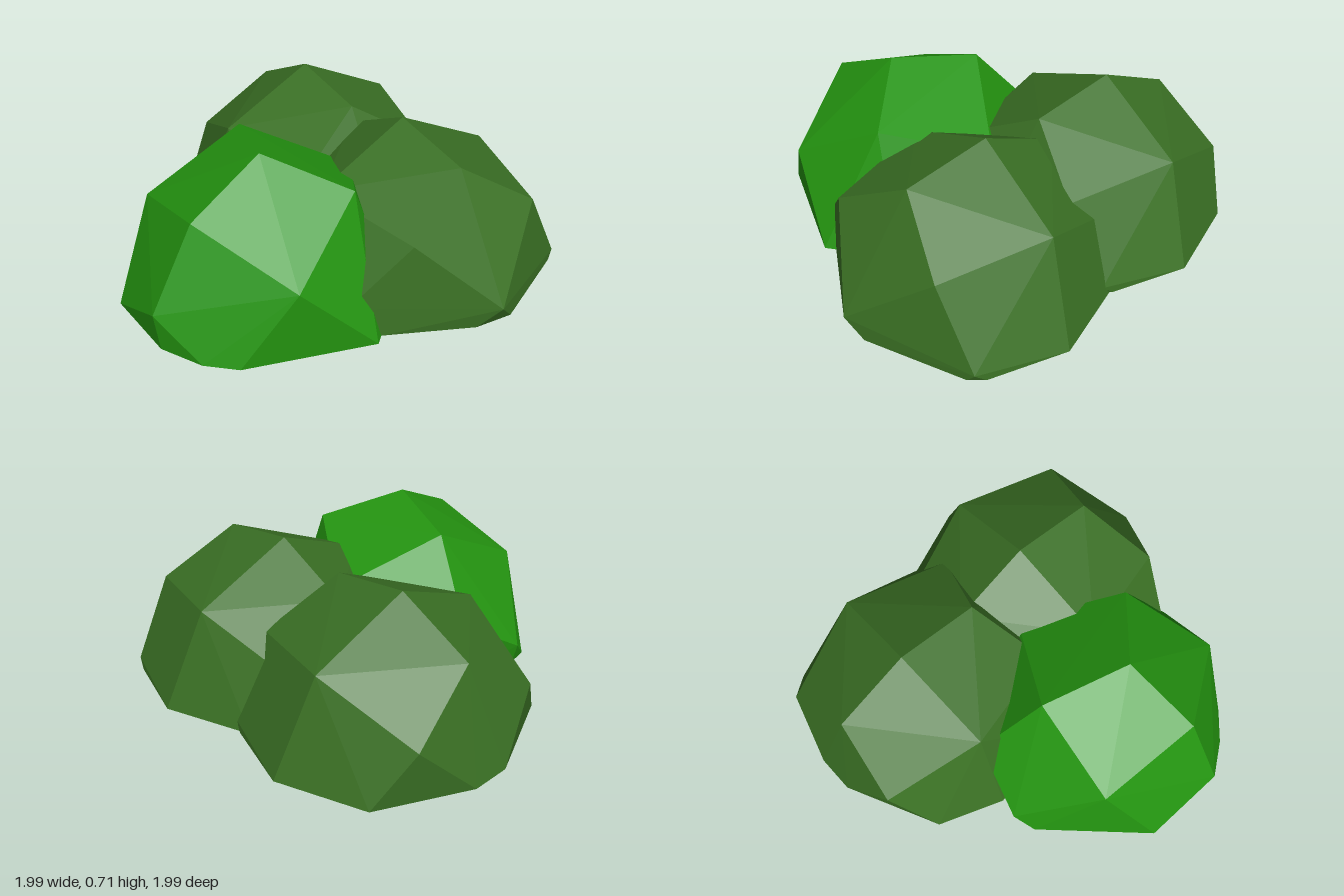
import * as THREE from 'three';
import { ConvexGeometry } from 'three/addons/geometries/ConvexGeometry.js';

const leafMaterial = (name, color) => {
  const m = new THREE.MeshStandardMaterial({ color, flatShading: true, side: THREE.DoubleSide });
  m.name = name;
  return m;
};

// Corners of the two dark clumps, from the crown down to the ground ring
const DARK = [
  [0.33, 0.68, 0.25],
  [0.79, 0.46, 0.20], [0.39, 0.61, 0.65], [0.27, 0.50, -0.12], [-0.13, 0.47, 0.36],
  [0.74, 0.40, 0.71], [0.07, 0.41, 0.83], [0.59, 0.26, -0.23], [-0.08, 0.27, -0.12],
  [0.43, 0.09, 0.99], [0.94, 0.04, 0.65], [-0.20, 0.14, 0.77],
  [0.99, 0, 0.23], [0.95, 0, 0.60], [0.91, 0, 0.67], [0.51, 0, 0.94], [0.33, 0, 0.95],
  [-0.06, 0, 0.83], [-0.20, 0, 0.72], [-0.32, 0, 0.35], [-0.25, 0, 0.03],
  [0.15, 0, -0.25], [0.33, 0, -0.28], [0.77, 0, -0.15],
];

// Corners of the bright clump
const BRIGHT = [
  [-0.40, 0.71, 0.34],
  [-0.33, 0.64, -0.07], [-0.75, 0.53, 0.46], [-0.07, 0.57, 0.57],
  [-0.79, 0.41, -0.03], [-0.44, 0.33, 0.83], [0.14, 0.42, 0.11],
  [-0.95, 0.17, 0.51], [-0.58, 0.10, -0.38], [-0.26, 0.30, -0.35],
  [-1.00, 0, 0.15], [-0.93, 0, 0.52], [-0.81, 0, 0.69], [-0.68, 0, 0.78], [-0.10, 0, 0.87],
  [0.13, 0, 0.60], [0.18, 0, 0.15], [-0.20, 0, -0.30], [-0.57, 0, -0.36], [-0.67, 0, -0.32],
];

// Wraps the corners in facets and separates the shell from its flat underside
function faceted(corners) {
  const hull = new ConvexGeometry(corners.map((c) => new THREE.Vector3(...c)));
  const p = hull.getAttribute('position');
  const shell = [], base = [];
  for (let i = 0; i < p.count; i += 3) {
    const flat = [0, 1, 2].every((k) => p.getY(i + k) < 0.001);
    for (let k = 0; k < 3; k++) (flat ? base : shell).push(p.getX(i + k), p.getY(i + k), p.getZ(i + k));
  }
  return [shell, base].map((list) => {
    const g = new THREE.BufferGeometry();
    g.setAttribute('position', new THREE.Float32BufferAttribute(list, 3));
    g.computeVertexNormals();
    return g;
  });
}

export function createModel() {
  const group = new THREE.Group();
  group.name = 'bush';
  const bright = leafMaterial('brightLeaves', 0x249410);
  const dark = leafMaterial('darkLeaves', 0x3a7024);

  const add = (name, geometry, material, x = 0, z = 0) => {
    const mesh = new THREE.Mesh(geometry, material);
    mesh.name = name;
    mesh.position.set(x, 0, z);
    group.add(mesh);
  };

  const [darkShell, darkBase] = faceted(DARK);
  const [brightShell] = faceted(BRIGHT);

  // Two equal dark clumps; only the front one is closed underneath
  add('frontClump', darkShell, dark);
  add('frontClumpBase', darkBase, bright);
  add('backClump', darkShell, dark, -0.15, -0.72);
  // Bright clump at the side
  add('sideClump', brightShell, bright);
  return group;
}
